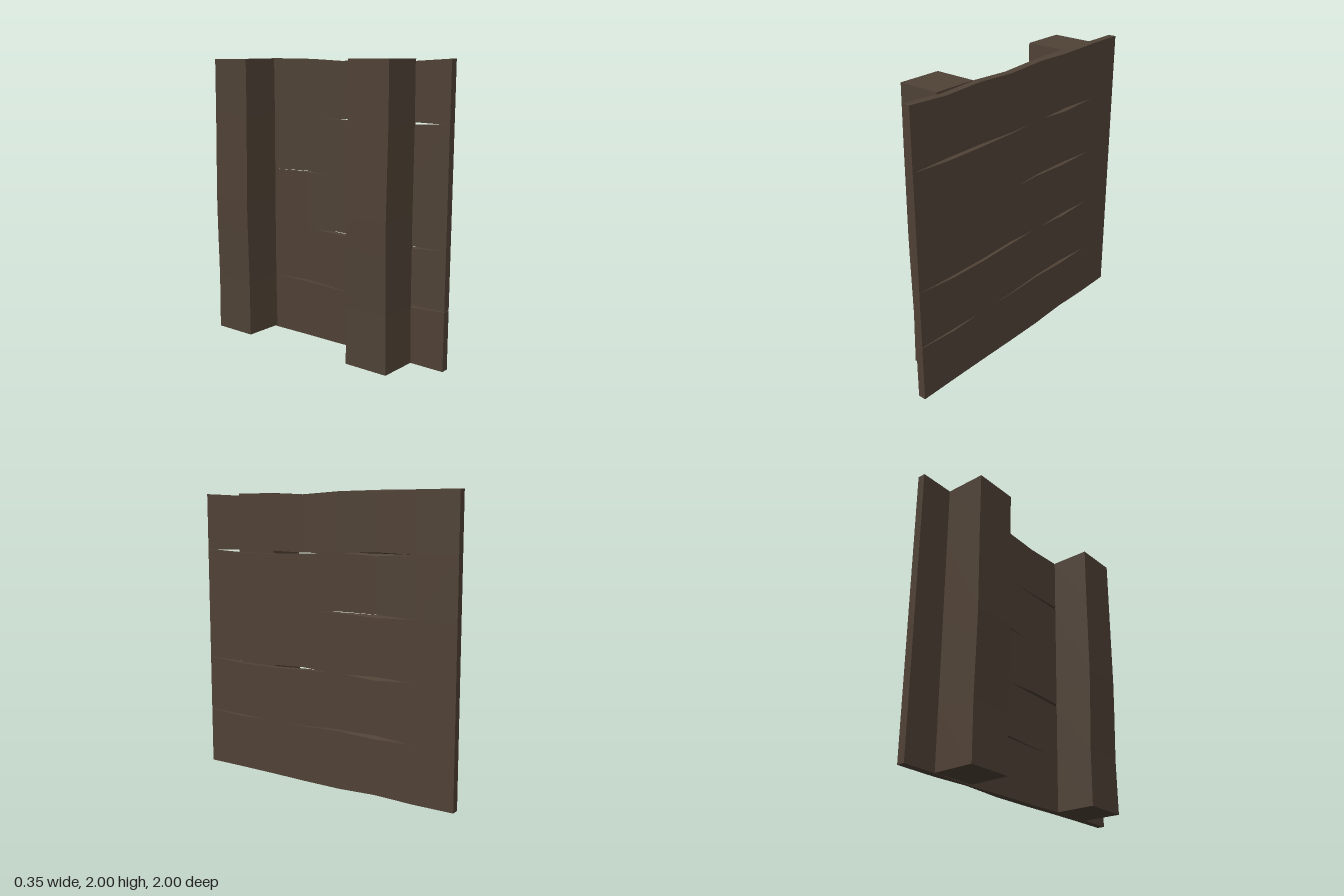
import * as THREE from 'three';

// Lofts four-cornered rings into a closed, flat-shaded solid.
// Rings run away from the viewer, with corners counter-clockwise.
function loft(rings) {
  const pos = [];
  const quad = (a, b, c, d) => pos.push(...a, ...b, ...c, ...a, ...c, ...d);
  for (let i = 0; i < rings.length - 1; i++) {
    for (let k = 0; k < 4; k++) {
      const n = (k + 1) % 4;
      quad(rings[i][k], rings[i + 1][k], rings[i + 1][n], rings[i][n]);
    }
  }
  const last = rings[rings.length - 1];
  quad(...rings[0]);
  quad(last[3], last[2], last[1], last[0]);
  const geo = new THREE.BufferGeometry();
  geo.setAttribute('position', new THREE.Float32BufferAttribute(pos, 3));
  geo.computeVertexNormals();
  return geo;
}

export function createModel() {
  const group = new THREE.Group();
  const wood = new THREE.MeshStandardMaterial({ color: 0x504236 });
  wood.name = 'darkWood';
  const add = (name, geo) => {
    const mesh = new THREE.Mesh(geo, wood);
    mesh.name = name;
    group.add(mesh);
  };

  // Hewn plank edges: heights in thousandths, at eight stations from front to back
  const bottoms = [
    [10, 10, 8, 4, 3, 0, 8, 10],
    [413, 407, 398, 403, 420, 408, 400, 400],
    [808, 803, 803, 813, 797, 800, 800, 800],
    [1200, 1200, 1200, 1198, 1217, 1206, 1200, 1200],
    [1597, 1603, 1603, 1595, 1598, 1600, 1600, 1600],
  ];
  const tops = [
    [408, 390, 402, 397, 405, 407, 400, 400],
    [808, 785, 783, 793, 802, 800, 800, 800],
    [1200, 1200, 1200, 1203, 1205, 1206, 1200, 1200],
    [1597, 1582, 1582, 1587, 1602, 1600, 1600, 1600],
    [1995, 1980, 1992, 1980, 1995, 2000, 1996, 1995],
  ];
  // Height of the outer notch at station 5, below and above each plank
  const notchBottom = [15, 420, 810, 1215, 1610];
  const notchTop = [393, 785, 1193, 1585, 1989];

  for (let p = 0; p < 5; p++) {
    const rings = bottoms[p].map((b, i) => {
      const z = 1 - (2 * i) / 7;
      const t = tops[p][i] / 1000;
      const outB = i === 5 ? notchBottom[p] / 1000 : b / 1000;
      const outT = i === 5 ? notchTop[p] / 1000 : t;
      return [[0.175, outB, z], [0.175, outT, z], [0.12, t, z], [0.12, b / 1000, z]];
    });
    add('plank' + (p + 1), loft(rings));
  }

  // Posts: [y, back face x, z shift of the front side], from top to bottom
  const postRows = [
    [1.995, -0.168, 0], [1.6, -0.17, 0.004], [1.0, -0.178, 0.002],
    [0.8, -0.175, 0.003], [0.4, -0.165, 0.005], [0.01, -0.168, 0.012],
  ];
  for (const [name, z0, z1] of [['frontPost', 0.436, 0.743], ['backPost', -0.758, -0.453]]) {
    add(name, loft(postRows.map(([y, x, s]) => [
      [0.125, y, z1 + s], [0.125, y, z0], [x, y, z0], [x, y, z1 + s],
    ])));
  }
  return group;
}
